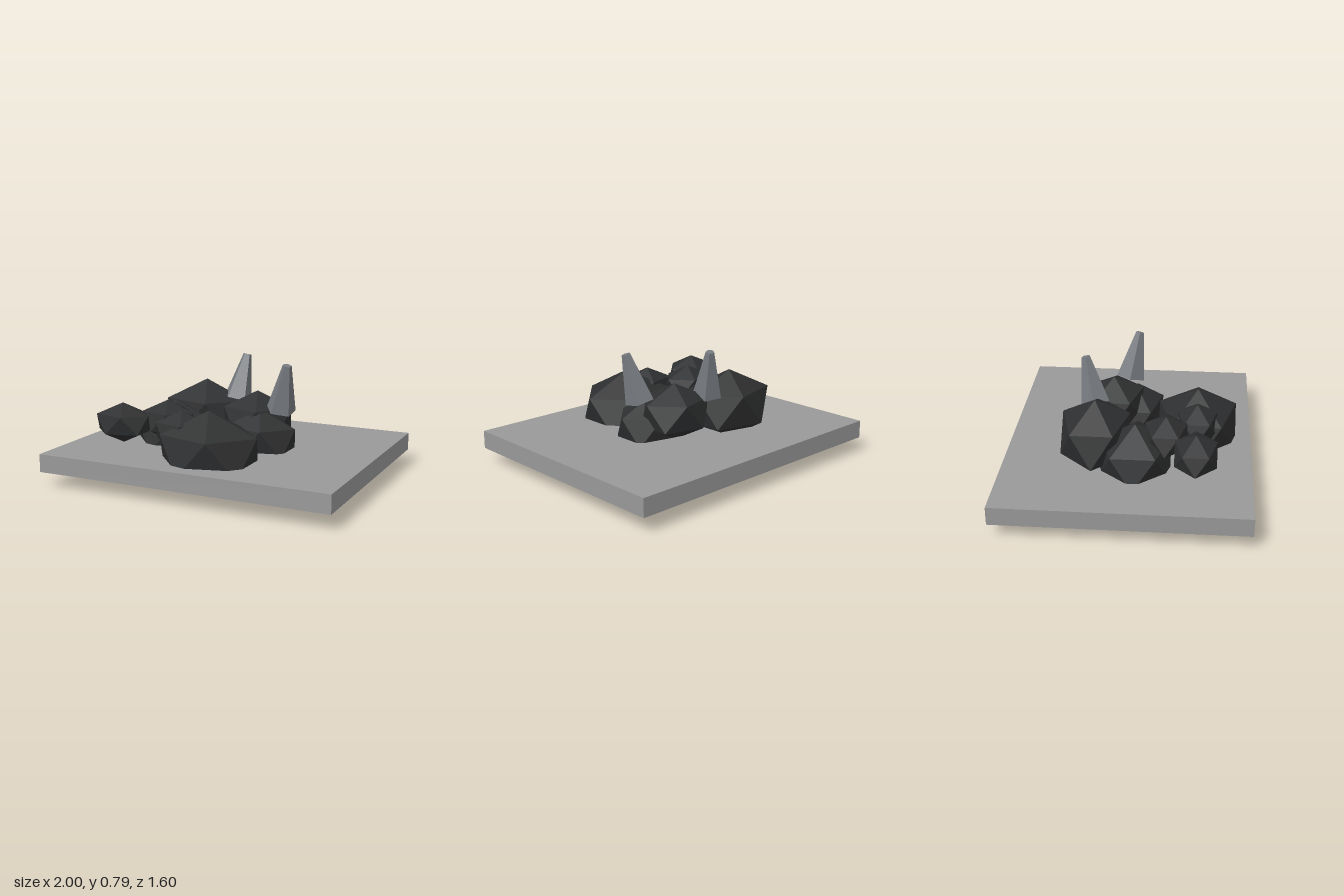
import * as THREE from 'three';
import { ConvexGeometry } from 'three/addons/geometries/ConvexGeometry.js';

const paint = (color) => new THREE.MeshStandardMaterial({ color, flatShading: true });

// Unit icosahedron standing on a point, upper ring with a corner at +x
function rockGeometry() {
  const points = [new THREE.Vector3(0, 1, 0), new THREE.Vector3(0, -1, 0)];
  const h = 1 / Math.sqrt(5);
  for (let i = 0; i < 5; i++) {
    const a = (i * Math.PI * 2) / 5;
    const x = 2 * h * Math.cos(a), z = 2 * h * Math.sin(a);
    points.push(new THREE.Vector3(x, h, z), new THREE.Vector3(-x, -h, -z));
  }
  return new ConvexGeometry(points);
}

// Tapered five-sided spike between two points
function spike(name, base, tip, material) {
  const from = new THREE.Vector3(...base), to = new THREE.Vector3(...tip);
  const axis = to.clone().sub(from);
  const geometry = new THREE.CylinderGeometry(0.03, 0.1, axis.length(), 5, 1, false, -Math.PI / 2);
  const mesh = new THREE.Mesh(geometry, material);
  mesh.name = name;
  mesh.position.copy(from).add(to).multiplyScalar(0.5);
  mesh.quaternion.setFromUnitVectors(new THREE.Vector3(0, 1, 0), axis.normalize());
  return mesh;
}

export function createModel() {
  const model = new THREE.Group();
  model.name = 'rockPile';
  const slabPaint = paint(0x999999), rockPaint = paint(0x2e2f30), spikePaint = paint(0x777b80);

  // Ground slab
  const slab = new THREE.Mesh(new THREE.BoxGeometry(2, 0.12, 1.6), slabPaint);
  slab.name = 'groundSlab';
  slab.position.y = 0.16;
  model.add(slab);

  // Rocks: name, centre, radii
  const rocks = [
    ['frontBoulder', [0.05, 0.27, 0.44], [0.37, 0.268, 0.304]],
    ['backBoulder', [-0.295, 0.365, -0.215], [0.335, 0.24, 0.258]],
    ['rightBoulder', [-0.395, 0.266, 0.05], [0.318, 0.228, 0.27]],
    ['backLeftRock', [0.13, 0.38, -0.13], [0.27, 0.192, 0.23]],
    ['leftRock', [0.21, 0.274, 0.01], [0.28, 0.204, 0.22]],
    ['outerSmallRock', [-0.58, 0.4, 0.44], [0.211, 0.133, 0.155]],
    ['middleSmallRock', [-0.355, 0.4, 0.245], [0.207, 0.134, 0.158]],
    ['innerSmallRock', [-0.145, 0.385, 0.44], [0.203, 0.134, 0.155]],
  ];
  const geometry = rockGeometry();
  for (const [name, centre, radii] of rocks) {
    const rock = new THREE.Mesh(geometry, rockPaint);
    rock.name = name;
    rock.position.set(...centre);
    rock.scale.set(...radii);
    model.add(rock);
  }

  // Pale spikes rising from the rocks
  model.add(spike('backSpike', [-0.07, 0.48, -0.235], [-0.025, 0.785, -0.3], spikePaint));
  model.add(spike('leftSpike', [0.34, 0.475, -0.035], [0.405, 0.785, 0.025], spikePaint));

  return model;
}
